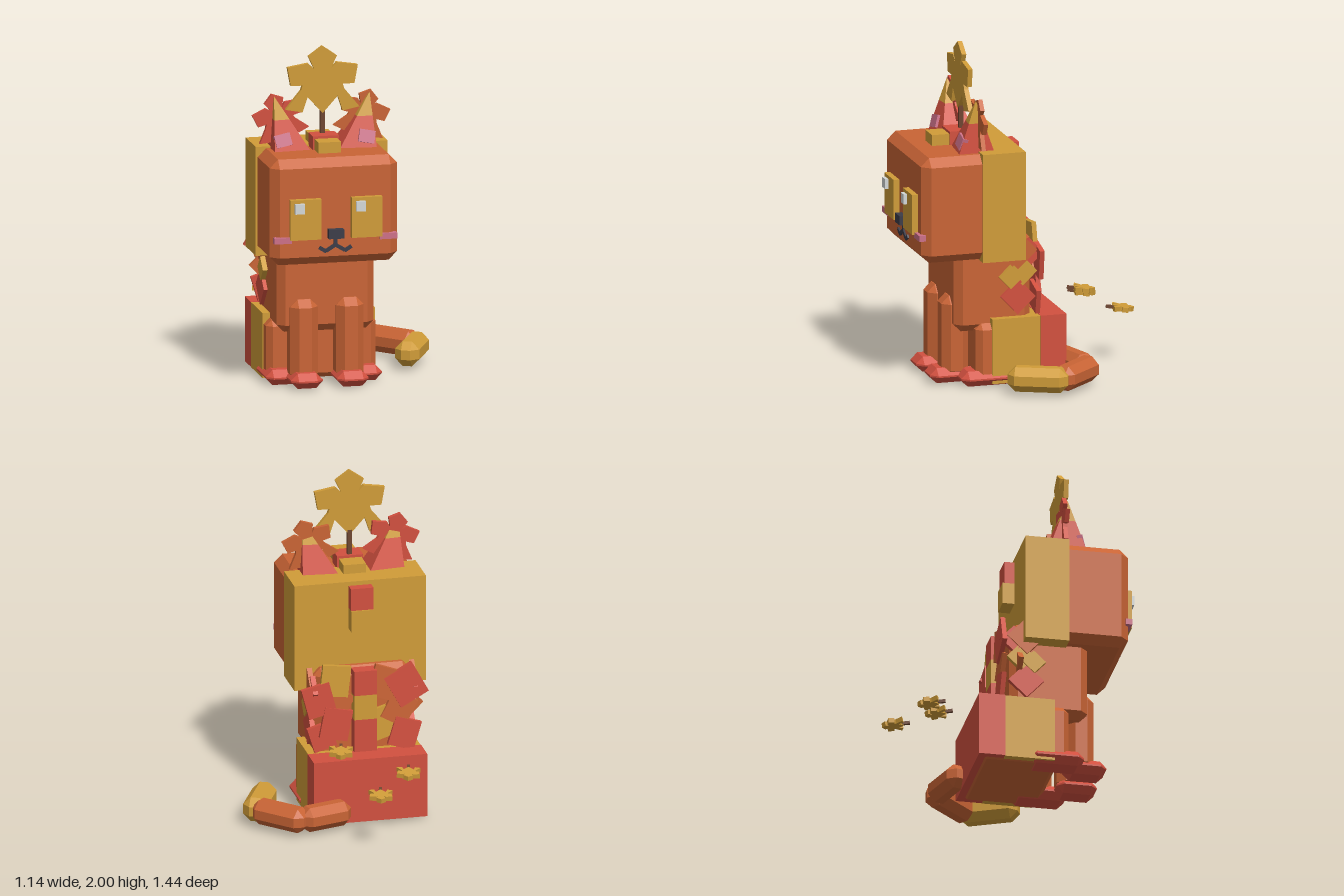
import * as THREE from 'three';
import { ConvexGeometry } from 'three/addons/geometries/ConvexGeometry.js';

const mat = (name, color) => {
  const m = new THREE.MeshStandardMaterial({ color, flatShading: true });
  m.name = name;
  return m;
};

export function createModel() {
  const orange = mat('orange fur', 0xc96435), red = mat('autumn red', 0xd2503f), yellow = mat('golden yellow', 0xd09c38);
  const pink = mat('blush pink', 0xcc7088), dark = mat('nose charcoal', 0x3c3c48), white = mat('eye glint', 0xd4d8d8);
  const brown = mat('stem brown', 0x6e4530);
  const model = new THREE.Group();
  const CX = -0.155; // the body's own centre line

  const add = (name, geo, material, x = 0, y = 0, z = 0, parent = model) => {
    const m = new THREE.Mesh(geo, material);
    m.name = name;
    m.position.set(x, y, z);
    parent.add(m);
    return m;
  };
  // Box given by its limits
  const box = (name, material, x0, x1, y0, y1, z0, z1) =>
    add(name, new THREE.BoxGeometry(x1 - x0, y1 - y0, z1 - z0), material, (x0 + x1) / 2, (y0 + y1) / 2, (z0 + z1) / 2);
  // Box with all edges chamfered by c
  const chamferGeo = (w, h, d, c) => {
    const pts = [];
    for (const sx of [-1, 1]) for (const sy of [-1, 1]) for (const sz of [-1, 1]) {
      const X = sx * w / 2, Y = sy * h / 2, Z = sz * d / 2;
      pts.push(new THREE.Vector3(X, Y - sy * c, Z - sz * c),
        new THREE.Vector3(X - sx * c, Y, Z - sz * c), new THREE.Vector3(X - sx * c, Y - sy * c, Z));
    }
    return new ConvexGeometry(pts);
  };
  const cbox = (name, material, x0, x1, y0, y1, z0, z1, c) =>
    add(name, chamferGeo(x1 - x0, y1 - y0, z1 - z0, c), material, (x0 + x1) / 2, (y0 + y1) / 2, (z0 + z1) / 2);

  // Five-lobed leaf, mirrored from half an outline
  const half = [[0, .2], [.085, .14], [.05, .065], [.085, .1], [.21, .08], [.19, -.03], [.12, -.03], [.13, -.06],
    [.22, -.17], [.12, -.19], [.09, -.1], [0, -.2]];
  const outline = [...half, ...half.slice(1, -1).reverse().map(([x, y]) => [-x, y])];
  const leafGeo = (s, t) => {
    const shape = new THREE.Shape(outline.map(([x, y]) => new THREE.Vector2(x * s, y * s)));
    return new THREE.ExtrudeGeometry(shape, { depth: t, bevelEnabled: false }).translate(0, 0, -t / 2);
  };

  // Head with its back shell
  cbox('head', orange, -.535, .225, .77, 1.4, .06, .66, .05);
  box('headShell', yellow, -.547, .24, .76, 1.41, .04, .3);
  box('crownStripe', yellow, -.22, -.085, 1.38, 1.465, .17, .51);
  box('crownPatch', red, -.23, -.075, 1.38, 1.48, .285, .405);
  box('napePatchUpper', red, -.22, -.085, 1.25, 1.385, -.02, .05);
  box('napePatchLower', yellow, -.22, -.085, 1.12, 1.25, -.03, .05);

  // Face
  for (const x of [-.337, .028]) {
    box('eye', yellow, x - .092, x + .092, .93, 1.17, .64, .695);
    box('eyeGlint', white, x - .068, x - .012, 1.09, 1.15, .68, .715);
  }
  box('nose', dark, CX - .045, CX + .045, .93, .985, .63, .7);
  box('mouthStem', dark, CX - .011, CX + .011, .875, .935, .64, .67);
  for (const s of [-1, 1]) {
    box('cheek', pink, CX + s * .315 - .052, CX + s * .315 + .052, .91, .945, .64, .68);
    add('mouthInner', new THREE.BoxGeometry(.06, .022, .03), dark, CX + s * .03, .87, .655).rotation.z = -s * .55;
    add('mouthOuter', new THREE.BoxGeometry(.05, .022, .03), dark, CX + s * .075, .863, .655).rotation.z = s * .55;
  }

  // Ears: leaning pyramids cut into a red base and a yellow tip
  for (const s of [-1, 1]) {
    const apex = new THREE.Vector3(CX + s * .285, 1.71, .31);
    const ring = t => [[.085, .18], [.305, .2], [.305, .42], [.085, .4]].map(([x, z]) =>
      new THREE.Vector3(CX + s * x, 1.39, z).lerp(apex, t));
    add('ear', new ConvexGeometry([...ring(0), ...ring(.58)]), red);
    add('earTip', new ConvexGeometry([...ring(.58), apex]), yellow);
    add('innerEar', new THREE.BoxGeometry(.095, .075, .035), pink, CX + s * .25, 1.46, .385).rotation.set(-.3, 0, -s * .2);
    const leaf = add('earLeaf', leafGeo(.7, .026), s < 0 ? red : orange, CX + s * .255, 1.585, .287);
    leaf.rotation.z = -s * .3;
  }

  // Large leaf sprouting from the crown
  box('crownStem', brown, -.167, -.141, 1.45, 1.63, .302, .328);
  add('crownLeaf', leafGeo(1, .028), yellow, CX, 1.8, .32);

  // Torso and haunches
  cbox('torso', orange, -.445, .135, .32, .9, -.03, .435, .045);
  cbox('haunches', orange, -.47, .16, .005, .37, -.2, .26, .03);
  box('haunchShellFront', yellow, -.49, .183, .012, .4, -.07, .225);
  box('haunchShellBack', red, -.492, .186, .015, .402, -.225, -.068);

  // Legs and paws
  for (const s of [-1, 1]) {
    const f = CX + s * .137, b = CX + s * .247;
    cbox('frontLeg', orange, f - .083, f + .083, .03, .52, .325, .487, .045);
    cbox('frontPaw', red, f - .095, f + .095, .005, .095, .32, .56, .04);
    cbox('backLeg', orange, b - .08, b + .08, .03, .37, .16, .315, .035);
    cbox('backPaw', red, b - .1, b + .1, 0, .09, .08, .405, .04);
  }

  // Curled tail of chamfered segments
  const path = [[-.02, -.235], [.29, -.325], [.505, -.09], [.375, .185]];
  const start = [0, .045, .05];
  for (let i = 0; i < 3; i++) {
    const [x0, z0] = path[i], [x1, z1] = path[i + 1];
    const dx = x1 - x0, dz = z1 - z0, len = Math.hypot(dx, dz) + start[i];
    const seg = add(i < 2 ? 'tailSegment' : 'tailTip', chamferGeo(.145, .147, len, .045), i < 2 ? orange : yellow,
      (x0 + x1) / 2 - dx / len * start[i] / 2, .095, (z0 + z1) / 2 - dz / len * start[i] / 2);
    seg.rotation.y = Math.atan2(dx, dz);
  }

  // Column of raised patches down the spine
  [[.75, .9, red], [.6, .75, yellow], [.4, .6, red]].forEach(([y0, y1, m]) =>
    box('spinePatch', m, -.222, -.085, y0, y1, -.1, -.02));

  // Loose square patches over the back: x, y, size, turn, colour
  [[.02, .84, .17, .12, yellow], [.12, .73, .17, -.25, red], [.02, .58, .17, .2, red], [.1, .5, .14, -.3, red],
    [-.27, .81, .17, .35, orange], [-.4, .79, .19, -.5, red], [-.26, .56, .17, -.3, yellow],
    [-.36, .64, .16, .5, orange], [-.39, .49, .16, .3, red], [.0, .7, .14, .5, orange]]
    .forEach(([x, y, s, turn, m], i) => {
      const p = add('backPatch', new THREE.BoxGeometry(s, s * 1.1, .028), m, x, y, -.058 - (i % 3) * .01);
      p.rotation.set(.04, 0, turn);
    });

  // Diamond patches on both flanks: z, y, size, colour
  for (const s of [-1, 1]) {
    [[.06, .52, .15, red], [.105, .64, .1, yellow], [.03, .67, .12, yellow], [.06, .8, .16, orange], [-.01, .78, .12, red]]
      .forEach(([z, y, size, m], i) => {
        const p = add('flankPatch', new THREE.BoxGeometry(.03, size, size), m, CX + s * (.298 + (i % 2) * .008), y, z);
        p.rotation.x = .75;
      });
  }
  add('flankFlap', new THREE.BoxGeometry(.11, .11, .03), orange, -.445, .64, .02).rotation.z = Math.PI / 4;

  // Small leaves drifting behind
  [[.06, .51, -.37, -.25], [-.315, .39, -.49, -.25], [-.11, .33, -.66, -.2]].forEach(([x, y, z, turn]) => {
    const g = new THREE.Group();
    g.name = 'driftingLeaf';
    g.position.set(x, y, z);
    g.rotation.set(-Math.PI / 2 - .12, 0, turn);
    add('leafBlade', leafGeo(.32, .028), yellow, 0, 0, 0, g);
    add('leafStem', new THREE.BoxGeometry(.018, .06, .018), brown, 0, -.07, 0, g);
    model.add(g);
  });

  return model;
}
